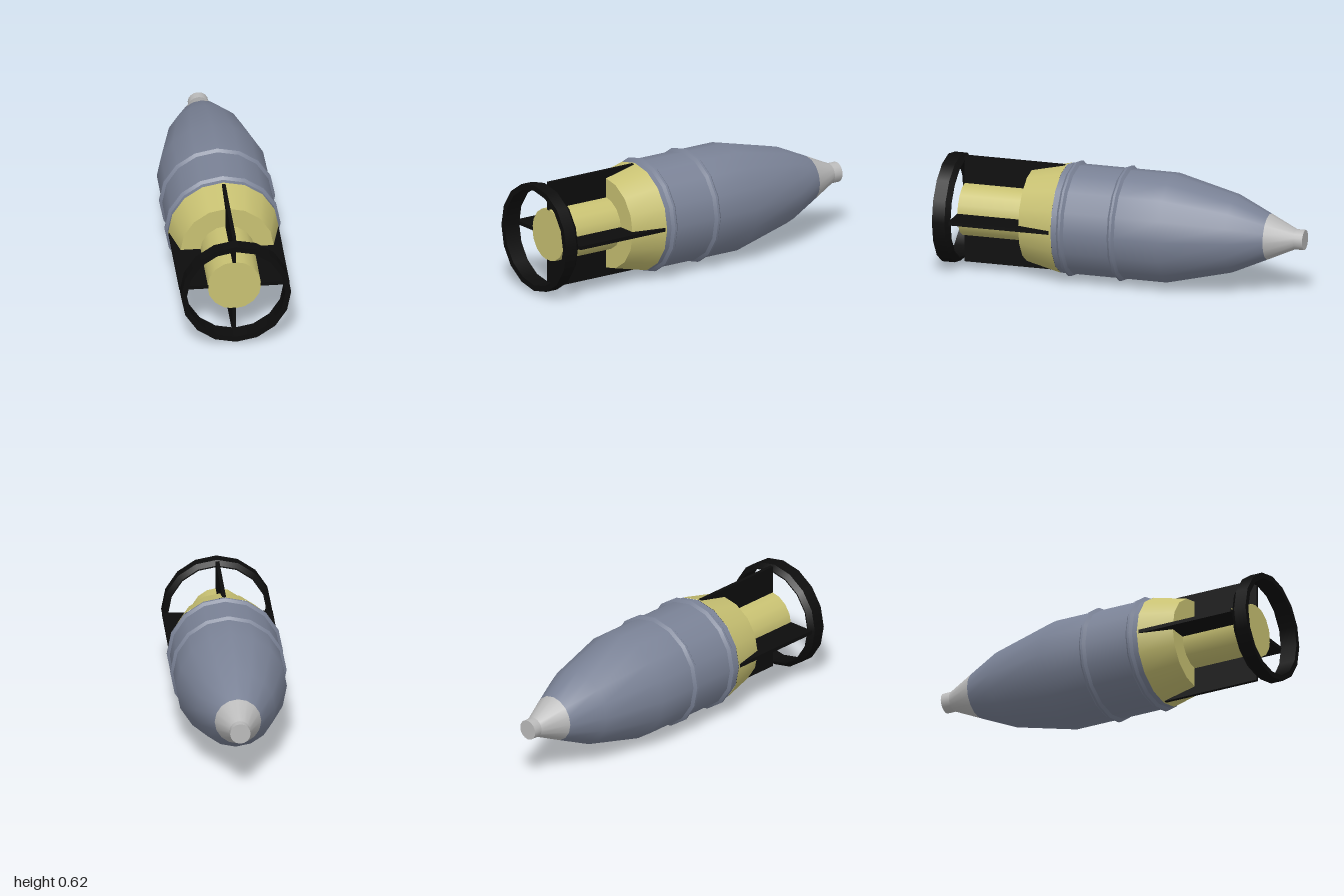
import * as THREE from 'three';
import { mergeGeometries } from 'three/addons/utils/BufferGeometryUtils.js';

const SIDES = 16;
const AXIS_Y = 0.312;

const paint = (name, color) => {
  const m = new THREE.MeshStandardMaterial({ color });
  m.name = name;
  return m;
};

// Revolves [radius, z] runs about the z axis; each run is smooth, with sharp edges between runs.
function turned(name, material, ...runs) {
  const parts = runs.map(run =>
    new THREE.LatheGeometry(run.map(([r, z]) => new THREE.Vector2(r, z)), SIDES).rotateX(Math.PI / 2));
  const mesh = new THREE.Mesh(mergeGeometries(parts), material);
  mesh.name = name;
  return mesh;
}

export function createModel() {
  const steel = paint('blue grey steel', 0x7a8296);
  const silver = paint('silver', 0xbababa);
  const yellow = paint('dull yellow', 0xc8c172);
  const black = paint('black', 0x0c0c0c);

  const model = new THREE.Group();
  model.name = 'shell';
  const round = new THREE.Group();
  round.name = 'finnedShell';
  round.position.y = AXIS_Y;
  model.add(round);

  // Nose fuse
  round.add(turned('noseFuse', silver,
    [[0, -1], [0.055, -1]],
    [[0.055, -1], [0.055, -0.95]],
    [[0.055, -0.95], [0.125, -0.8]]));

  // Casing
  round.add(turned('casing', steel,
    [[0.125, -0.8], [0.212, -0.61], [0.297, -0.26], [0.297, 0], [0.297, 0.335]]));

  // Raised bands
  for (const z of [0, 0.285]) {
    round.add(turned('band', steel,
      [[0.296, z - 0.021], [0.312, z - 0.006]],
      [[0.312, z - 0.006], [0.312, z + 0.006]],
      [[0.312, z + 0.006], [0.296, z + 0.021]]));
  }

  // Tapered tail and boom
  round.add(turned('tail', yellow,
    [[0.298, 0.335], [0.252, 0.53]],
    [[0.252, 0.53], [0.145, 0.53]]));
  round.add(turned('tailBoom', yellow,
    [[0.145, 0.53], [0.145, 0.905]],
    [[0.145, 0.905], [0, 0.905]]));

  // Tail ring with a chamfered leading edge
  round.add(turned('tailRing', black,
    [[0.265, 0.905], [0.272, 0.905]],
    [[0.272, 0.905], [0.296, 0.93]],
    [[0.296, 0.93], [0.296, 1]],
    [[0.296, 1], [0.265, 1]],
    [[0.265, 1], [0.265, 0.905]]));

  // Four fins
  for (let i = 0; i < 4; i++) {
    const fin = new THREE.Mesh(
      new THREE.BoxGeometry(0.02, 0.156, 0.562).translate(0, 0.218, 0.626), black);
    fin.name = 'fin';
    fin.rotation.z = i * Math.PI / 2;
    round.add(fin);
  }
  return model;
}
